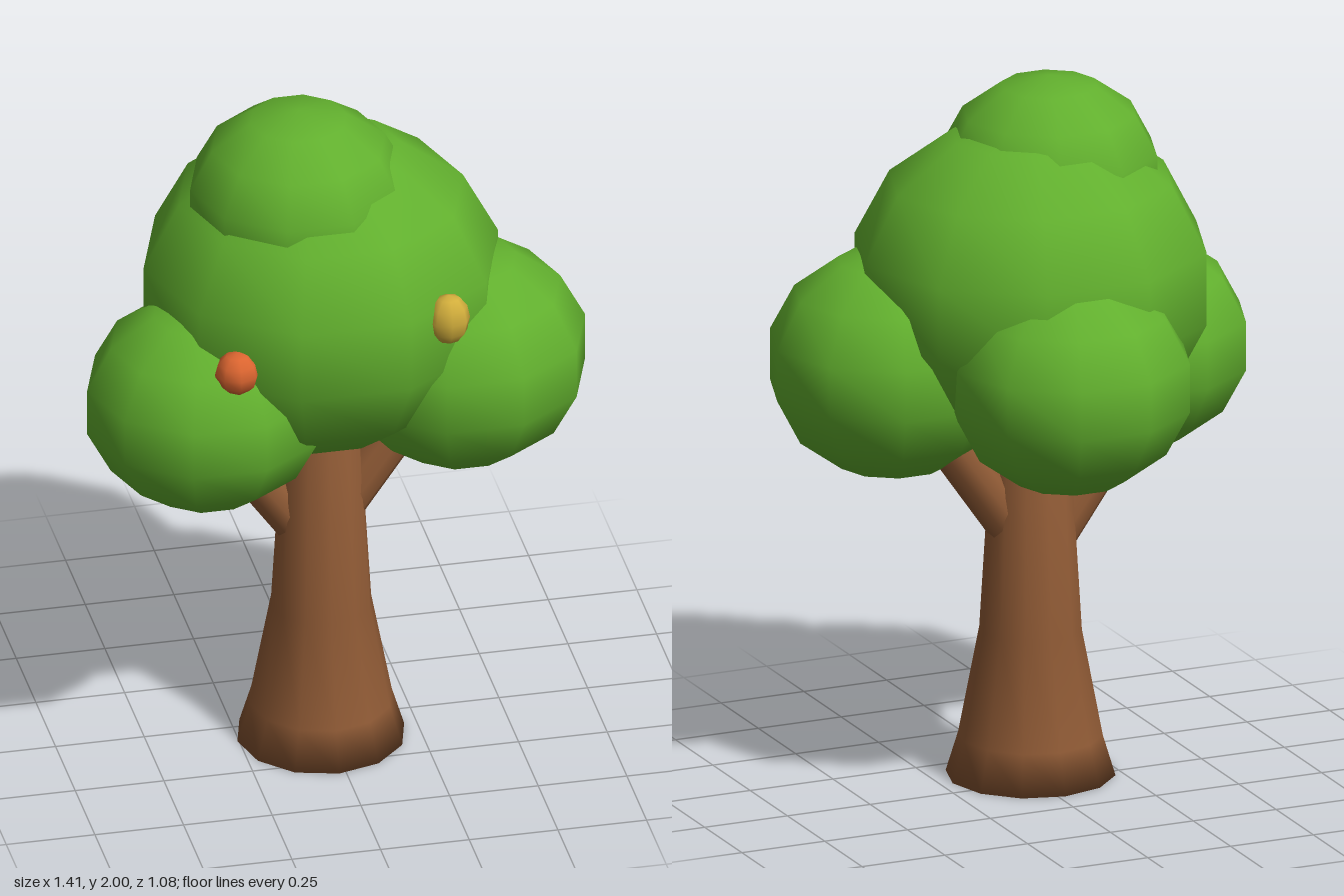
import * as THREE from 'three';

const mat = (name, color) => {
  const m = new THREE.MeshStandardMaterial({ color });
  m.name = name;
  return m;
};

export function createModel() {
  const tree = new THREE.Group();
  tree.name = 'tree';
  const bark = mat('bark brown', 0x8f5a35);
  const leaf = mat('leaf green', 0x62b02e);
  const orange = mat('orange fruit', 0xdb6530);
  const yellow = mat('yellow fruit', 0xd2ae3c);

  const add = (name, geometry, material, pos) => {
    const mesh = new THREE.Mesh(geometry, material);
    mesh.name = name;
    mesh.position.set(...pos);
    tree.add(mesh);
    return mesh;
  };

  // Flared trunk with softly shaded foot
  const profile = [[0, 0], [0.235, 0], [0.2, 0.115], [0.142, 0.42], [0.107, 1], [0, 1]];
  add('trunk', new THREE.LatheGeometry(profile.map(p => new THREE.Vector2(...p)), 12), bark, [-0.02, 0, 0.08]);

  // Branches reaching into the side foliage
  const branch = (name, from, to) => {
    const a = new THREE.Vector3(...from), b = new THREE.Vector3(...to);
    const dir = b.clone().sub(a);
    const mid = a.clone().add(b).multiplyScalar(0.5);
    const mesh = add(name, new THREE.CylinderGeometry(0.062, 0.068, dir.length(), 10), bark, mid.toArray());
    mesh.quaternion.setFromUnitVectors(new THREE.Vector3(0, 1, 0), dir.normalize());
  };
  branch('leftBranch', [0.02, 0.7, 0.08], [0.27, 1.045, 0.08]);
  branch('rightBranch', [-0.07, 0.66, 0.08], [-0.32, 1.0, 0.08]);

  // Faceted foliage clumps: name, centre, radii
  const clumps = [
    ['crown', [-0.02, 1.427, 0.08], [0.513, 0.468, 0.493]],
    ['topFoliage', [-0.09, 1.72, 0.11], [0.313, 0.28, 0.308]],
    ['leftFoliage', [0.354, 1.215, 0.168], [0.36, 0.325, 0.347]],
    ['rightFoliage', [-0.37, 1.169, 0.205], [0.345, 0.309, 0.33]],
    ['backFoliage', [0, 1.224, -0.23], [0.349, 0.314, 0.335]],
  ];
  for (const [name, centre, radii] of clumps) {
    add(name, new THREE.SphereGeometry(1, 10, 7), leaf, centre).scale.set(...radii);
  }

  // Fruits
  add('orangeFruit', new THREE.SphereGeometry(1, 8, 6), orange, [-0.335, 1.38, 0.438]).scale.set(0.063, 0.063, 0.06);
  add('yellowFruit', new THREE.SphereGeometry(1, 8, 6), yellow, [0.255, 1.495, 0.468]).scale.set(0.06, 0.075, 0.05);

  return tree;
}
